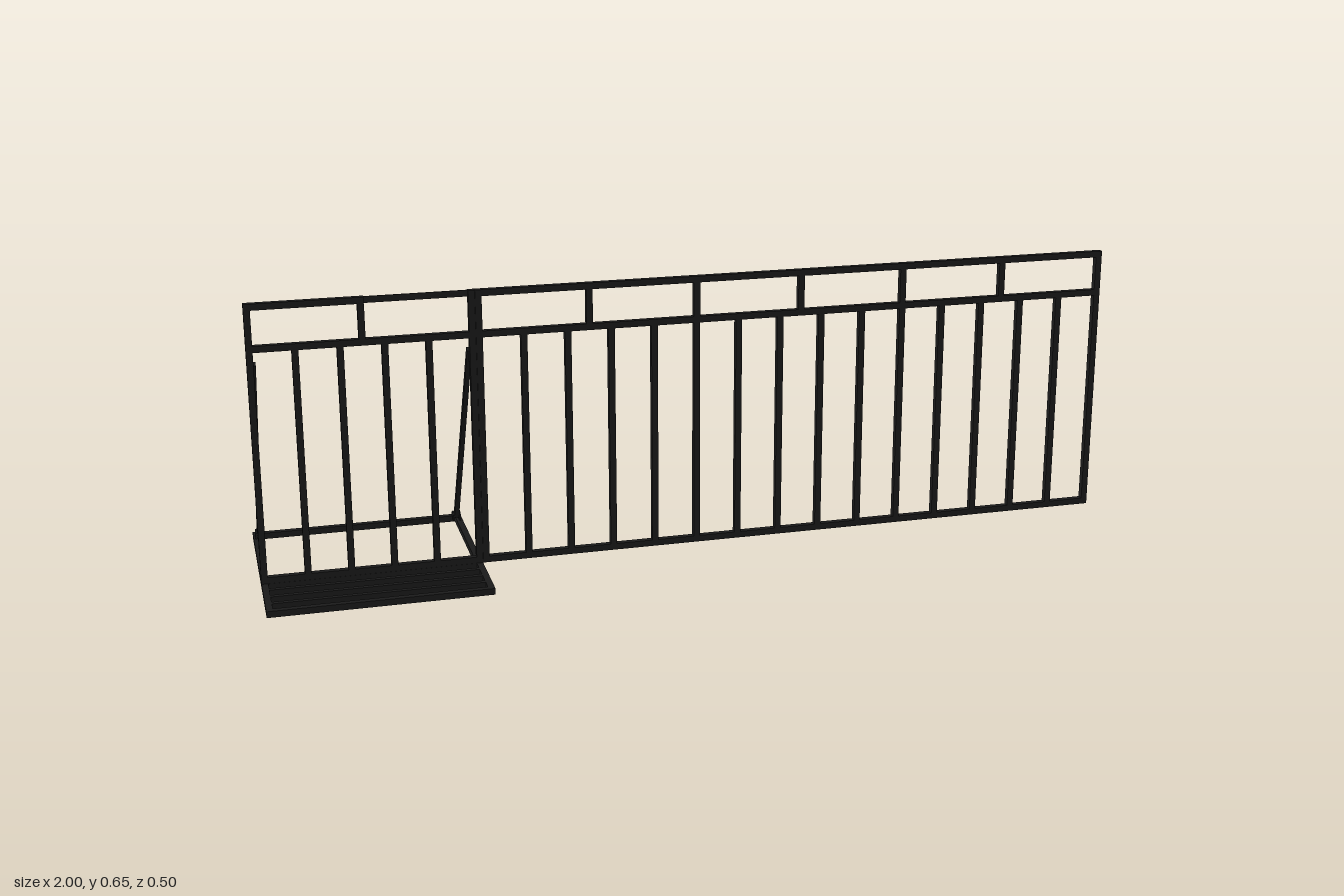
import * as THREE from 'three';

const T = 0.0145;      // square tube size
const FENCE_Z = 0.083; // plane of the railing
const material = new THREE.MeshStandardMaterial({ color: 0x1a1a1a });

function box(parent, name, w, h, d, x, y, z) {
  const mesh = new THREE.Mesh(new THREE.BoxGeometry(w, h, d), material);
  mesh.name = name;
  mesh.position.set(x, y, z);
  parent.add(mesh);
  return mesh;
}

// One railing panel between two end post centres
function createPanel(name, x0, x1, barCount, spacerCount, thinFrom = null) {
  const panel = new THREE.Group();
  panel.name = name;
  const bottom = 0.022, middle = 0.55, top = 0.643;
  const span = x1 - x0, centre = (x0 + x1) / 2;
  const low = bottom - T / 2, high = top + T / 2;

  for (const x of [x0, x1]) box(panel, 'endPost', T, high - low, T, x, (low + high) / 2, FENCE_Z);
  box(panel, 'bottomRail', span - T, T, T, centre, bottom, FENCE_Z);
  box(panel, 'middleRail', span - T, T, T, centre, middle, FENCE_Z);

  // The top rail may end in a flat strip
  const railStart = x0 + T / 2, railEnd = thinFrom ?? x1 - T / 2;
  box(panel, 'topRail', railEnd - railStart, T, T, (railStart + railEnd) / 2, top, FENCE_Z);
  if (thinFrom !== null) {
    const end = x1 - T / 2;
    box(panel, 'topRailStrip', end - thinFrom, T, 0.003, (thinFrom + end) / 2, top, FENCE_Z);
  }

  for (let i = 1; i <= barCount; i++) {
    const x = x0 + span * i / (barCount + 1);
    box(panel, 'verticalBar', T, middle - bottom - T, T, x, (middle + bottom) / 2, FENCE_Z);
  }
  for (let i = 1; i <= spacerCount; i++) {
    const x = x0 + span * i / (spacerCount + 1);
    box(panel, 'topSpacer', T, top - middle - T, T, x, (top + middle) / 2, FENCE_Z);
  }
  return panel;
}

// Flat floor frame with a slatted step in front of the railing
function createBase(x0, x1) {
  const base = new THREE.Group();
  base.name = 'baseFrame';
  const centre = (x0 + x1) / 2, inner = x1 - x0 - 2 * T, edge = 0.25 - T / 2;
  for (const x of [x0 + T / 2, x1 - T / 2]) box(base, 'sideBeam', T, T, 0.5, x, T / 2, 0);
  for (const z of [-edge, edge, FENCE_Z]) box(base, 'crossBeam', inner, T, T, centre, T / 2, z);
  for (let i = 1; i <= 3; i++) {
    const z = FENCE_Z + (edge - FENCE_Z) * i / 4;
    box(base, 'stepSlat', inner, T, 0.011, centre, T / 2, z);
  }
  return base;
}

// Sloping strut held at its foot by two chamfered plates
function createBrace(x) {
  const brace = new THREE.Group();
  brace.name = 'brace';
  const top = new THREE.Vector3(x, 0.515, FENCE_Z - 0.006);
  const foot = new THREE.Vector3(x, 0.024, -0.21);
  const strut = box(brace, 'strut', 0.011, top.distanceTo(foot), 0.013, 0, 0, 0);
  strut.position.lerpVectors(top, foot, 0.5);
  strut.quaternion.setFromUnitVectors(new THREE.Vector3(0, 1, 0), top.clone().sub(foot).normalize());

  const outline = new THREE.Shape([[-0.011, 0], [0.011, 0], [0.011, 0.014], [0.006, 0.02], [-0.006, 0.02], [-0.011, 0.014]]
    .map(([a, b]) => new THREE.Vector2(a, b)));
  const plate = new THREE.ExtrudeGeometry(outline, { depth: 0.004, bevelEnabled: false });
  plate.rotateY(Math.PI / 2);
  for (const offset of [-0.0095, 0.0055]) {
    const mesh = new THREE.Mesh(plate, material);
    mesh.name = 'footPlate';
    mesh.position.set(x + offset, T, -0.211);
    brace.add(mesh);
  }
  return brace;
}

export function createModel() {
  const model = new THREE.Group();
  model.name = 'railingWithStep';
  model.add(
    createPanel('shortPanel', -0.992, -0.512, 4, 1, -0.745),
    createPanel('longPanel', -0.497, 0.992, 14, 5),
    createBase(-0.999, -0.505),
    createBrace(-0.985),
    createBrace(-0.519),
  );
  return model;
}
